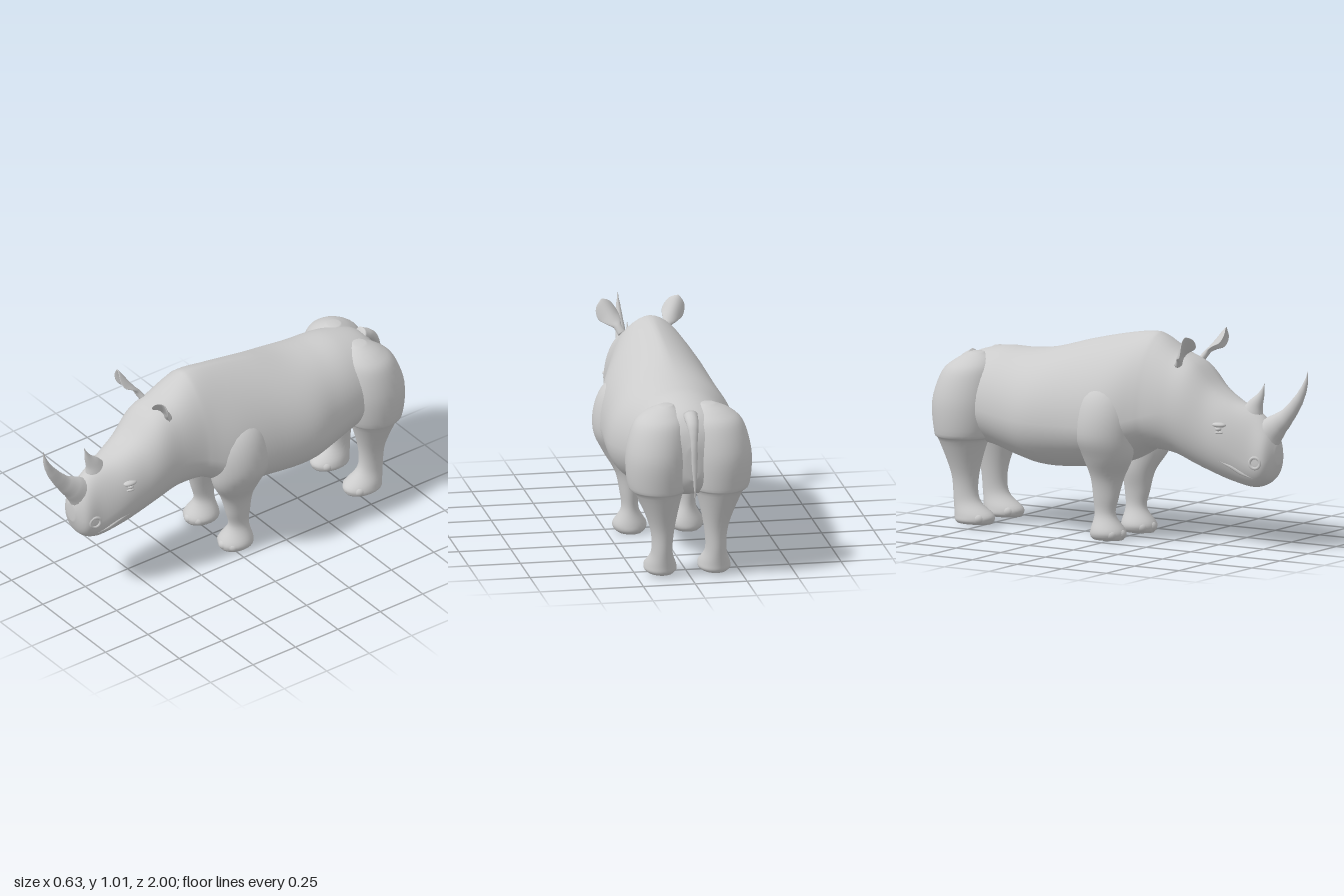
import * as THREE from 'three';

const grey = new THREE.MeshStandardMaterial({ color: 0xcccccc });
const V = (x, y, z) => new THREE.Vector3(x, y, z);

// Smoothly resample a table of stations, column by column
function resample(rows, steps) {
  const at = i => rows[Math.min(Math.max(i, 0), rows.length - 1)];
  const out = [];
  for (let i = 0; i < rows.length - 1; i++) {
    for (let s = 0; s < steps; s++) {
      const t = s / steps;
      out.push(rows[i].map((b, k) => {
        const a = at(i - 1)[k], c = at(i + 1)[k], d = at(i + 2)[k];
        return b + 0.5 * t * (c - a + t * (2 * a - 5 * b + 4 * c - d + t * (3 * (b - c) + d - a)));
      }));
    }
  }
  out.push(rows[rows.length - 1]);
  return out;
}

// Skin a closed solid over rings of points, capped at both ends
function loft(name, rings) {
  const n = rings[0].length, pos = [], idx = [];
  rings.forEach(r => r.forEach(p => pos.push(p.x, p.y, p.z)));
  for (let i = 0; i < rings.length - 1; i++) {
    for (let j = 0; j < n; j++) {
      const a = i * n + j, b = i * n + (j + 1) % n;
      idx.push(a, b, a + n, b, b + n, a + n);
    }
  }
  [0, rings.length - 1].forEach((r, end) => {
    const c = rings[r].reduce((s, p) => s.add(p), V(0, 0, 0)).divideScalar(n);
    const ci = pos.length / 3;
    pos.push(c.x, c.y, c.z);
    for (let j = 0; j < n; j++) {
      const a = r * n + j, b = r * n + (j + 1) % n;
      end ? idx.push(a, b, ci) : idx.push(b, a, ci);
    }
  });
  // Signed volume tells whether the faces need turning outward
  const P = i => V(pos[3 * i], pos[3 * i + 1], pos[3 * i + 2]);
  let vol = 0;
  for (let i = 0; i < idx.length; i += 3) vol += P(idx[i]).dot(P(idx[i + 1]).cross(P(idx[i + 2])));
  if (vol < 0) idx.reverse();
  const g = new THREE.BufferGeometry();
  g.setAttribute('position', new THREE.Float32BufferAttribute(pos, 3));
  g.setIndex(idx);
  g.computeVertexNormals();
  const mesh = new THREE.Mesh(g, grey);
  mesh.name = name;
  return mesh;
}

const ring = (n, f) => Array.from({ length: n }, (_, j) => f(2 * Math.PI * j / n));

// Tapered tube; radii rows are [sideways, in the bending plane]
function taper(name, points, radii, steps = 24) {
  const curve = new THREE.CatmullRomCurve3(points);
  const r = resample(radii, 8);
  const rings = [];
  for (let i = 0; i <= steps; i++) {
    const u = i / steps, p = curve.getPoint(u), t = curve.getTangent(u);
    const b = t.cross(V(1, 0, 0)).normalize();
    const [rx, rb] = r[Math.round(u * (r.length - 1))];
    rings.push(ring(16, a => p.clone().addScaledVector(b, rb * Math.sin(a)).add(V(rx * Math.cos(a), 0, 0))));
  }
  return loft(name, rings);
}

function ball(name, p, s) {
  const m = new THREE.Mesh(new THREE.SphereGeometry(1, 20, 14), grey);
  m.name = name;
  m.position.copy(p);
  m.scale.set(...s);
  return m;
}

// Torso, neck and head: z, bottom, top, widest height, half width, back roundness
const body = resample([
  [-0.95, 0.50, 0.66, 0.58, 0.03, 1],
  [-0.92, 0.44, 0.75, 0.58, 0.17, 1],
  [-0.85, 0.405, 0.82, 0.58, 0.23, 1],
  [-0.70, 0.385, 0.858, 0.58, 0.255, 1],
  [-0.55, 0.343, 0.861, 0.56, 0.282, 1],
  [-0.40, 0.315, 0.88, 0.55, 0.31, 1.1],
  [-0.20, 0.325, 0.935, 0.55, 0.298, 1.3],
  [0.00, 0.36, 0.98, 0.56, 0.28, 1.35],
  [0.14, 0.43, 1.0, 0.60, 0.228, 1.15],
  [0.20, 0.44, 0.985, 0.62, 0.208, 1.05],
  [0.30, 0.425, 0.92, 0.64, 0.19, 0.85],
  [0.40, 0.385, 0.87, 0.63, 0.18, 0.75],
  [0.50, 0.35, 0.77, 0.56, 0.16, 0.75],
  [0.60, 0.32, 0.71, 0.505, 0.142, 0.8],
  [0.72, 0.30, 0.665, 0.43, 0.107, 1],
  [0.80, 0.338, 0.59, 0.435, 0.09, 1],
  [0.835, 0.42, 0.51, 0.465, 0.03, 1],
], 6);

const bellyRoundness = 0.9;
const span = ([, lo, hi, mid], s) => (s > 0 ? hi - mid : mid - lo);
const bodyRing = row => ring(48, a => {
  const c = Math.cos(a), s = Math.sin(a);
  const x = row[4] * Math.sign(c) * Math.abs(c) ** (s > 0 ? row[5] : bellyRoundness);
  return V(x, row[3] + span(row, s) * s, row[0]);
});

// Half width of the body surface at a given height and depth
function skinX(y, z) {
  const row = body.reduce((a, b) => (Math.abs(b[0] - z) < Math.abs(a[0] - z) ? b : a));
  const s = (y - row[3]) / span(row, y - row[3]);
  return row[4] * Math.max(0, 1 - s * s) ** ((s > 0 ? row[5] : bellyRoundness) / 2);
}

// Legs with shoulder or thigh: y, x, z, half width, half depth
const frontLegRows = [
  [0.80, 0.13, -0.04, 0.03, 0.03], [0.72, 0.16, -0.035, 0.10, 0.11], [0.62, 0.175, -0.03, 0.13, 0.145],
  [0.50, 0.178, -0.03, 0.132, 0.15], [0.40, 0.165, -0.02, 0.10, 0.125], [0.30, 0.14, -0.037, 0.068, 0.085],
  [0.20, 0.14, -0.045, 0.046, 0.065], [0.12, 0.138, -0.05, 0.042, 0.054], [0.05, 0.137, -0.035, 0.079, 0.085],
  [0.02, 0.137, -0.035, 0.077, 0.088], [0.003, 0.137, -0.035, 0.06, 0.078]];
const hindLegRows = [
  [0.835, 0.10, -0.79, 0.03, 0.03], [0.80, 0.12, -0.795, 0.09, 0.09], [0.74, 0.135, -0.81, 0.133, 0.135],
  [0.60, 0.15, -0.825, 0.152, 0.162], [0.45, 0.15, -0.83, 0.141, 0.147], [0.41, 0.145, -0.84, 0.11, 0.12],
  [0.25, 0.13, -0.84, 0.06, 0.07], [0.13, 0.13, -0.832, 0.05, 0.066], [0.06, 0.13, -0.79, 0.073, 0.10],
  [0.03, 0.13, -0.787, 0.077, 0.10], [0.015, 0.13, -0.787, 0.062, 0.09]];

function leg(name, rows, side) {
  const g = new THREE.Group();
  g.name = name;
  g.add(loft(name + 'Limb', resample(rows, 5).map(([y, x, z, rx, rz]) =>
    ring(28, a => V(side * (x + rx * Math.cos(a)), y, z + rz * Math.sin(a))))));
  // Three toes around the front of the foot
  const [y, x, z, rx, rz] = rows[rows.length - 2];
  for (const a of [-0.85, 0, 0.85]) {
    g.add(ball('toe', V(side * (x + 0.68 * rx * Math.sin(a)), y + 0.012, z + 0.72 * rz * Math.cos(a)),
      [0.031, 0.027, 0.032]));
  }
  return g;
}

// Cupped leaf-shaped ear facing forward: distance along, half width, thickness
function ear(side) {
  const base = V(0.112, 0.875, 0.355), A = V(0.43, 0.78, 0.46).normalize();
  const S = A.clone().cross(V(0.1, -0.5, 0.86)).normalize(), F = S.clone().cross(A);
  const rows = resample([[-0.02, 0.02, 0.016], [0.02, 0.02, 0.014], [0.05, 0.036, 0.008], [0.10, 0.053, 0.005],
    [0.15, 0.04, 0.004], [0.174, 0.003, 0.002]], 4);
  return loft('ear', rows.map(([u, w, t]) => ring(24, a => {
    const v = w * Math.cos(a);
    const p = base.clone().addScaledVector(A, u).addScaledVector(S, v)
      .addScaledVector(F, 13 * v * v * Math.min(1, Math.max(0, u) * 12) + t * Math.sin(a) - 0.01);
    p.x *= side;
    return p;
  })));
}

export function createModel() {
  const model = new THREE.Group();
  model.name = 'rhinoceros';
  model.add(loft('body', body.map(bodyRing)));

  // Horns and tail
  model.add(taper('frontHorn',
    [V(0, 0.53, 0.75), V(0, 0.59, 0.81), V(0, 0.65, 0.878), V(0, 0.735, 0.945), V(0, 0.81, 0.983), V(0, 0.877, 0.999)],
    [[0.06, 0.085], [0.05, 0.062], [0.032, 0.04], [0.021, 0.026], [0.012, 0.013], [0.001, 0.001]]));
  model.add(taper('rearHorn',
    [V(0, 0.64, 0.685), V(0, 0.69, 0.705), V(0, 0.74, 0.735), V(0, 0.80, 0.757)],
    [[0.045, 0.06], [0.032, 0.04], [0.015, 0.018], [0.001, 0.001]]));
  model.add(taper('tail',
    [V(0, 0.80, -0.87), V(0, 0.765, -0.935), V(0, 0.69, -0.972), V(0, 0.58, -0.985), V(0, 0.42, -0.998)],
    [[0.035, 0.03], [0.028, 0.022], [0.017, 0.014], [0.014, 0.009], [0.002, 0.002]]));

  for (const side of [1, -1]) {
    const s = side > 0 ? 'left' : 'right';
    model.add(leg(s + 'FrontLeg', frontLegRows, side), leg(s + 'HindLeg', hindLegRows, side), ear(side));

    // Eye between two lids
    const ex = side * skinX(0.585, 0.58);
    model.add(ball('eye', V(ex - side * 0.004, 0.584, 0.582), [0.014, 0.011, 0.016]));
    model.add(ball('upperLid', V(ex - side * 0.01, 0.603, 0.58), [0.022, 0.013, 0.038]));
    model.add(ball('lowerLid', V(ex - side * 0.01, 0.567, 0.578), [0.018, 0.01, 0.03]));

    // Nostril rim
    const nostril = new THREE.Mesh(new THREE.TorusGeometry(0.026, 0.008, 10, 24), grey);
    nostril.name = 'nostril';
    nostril.position.set(side * (skinX(0.43, 0.765) - 0.003), 0.43, 0.762);
    nostril.rotation.y = side * 1.35;
    model.add(nostril);

    // Lip line along the side of the muzzle
    const lip = [[0.352, 0.74], [0.375, 0.69], [0.405, 0.64], [0.43, 0.58]];
    model.add(taper('lip', lip.map(([y, z]) => V(side * (skinX(y, z) - 0.002), y, z)),
      [[0.002, 0.002], [0.007, 0.008], [0.007, 0.008], [0.002, 0.002]]));
  }
  return model;
}
